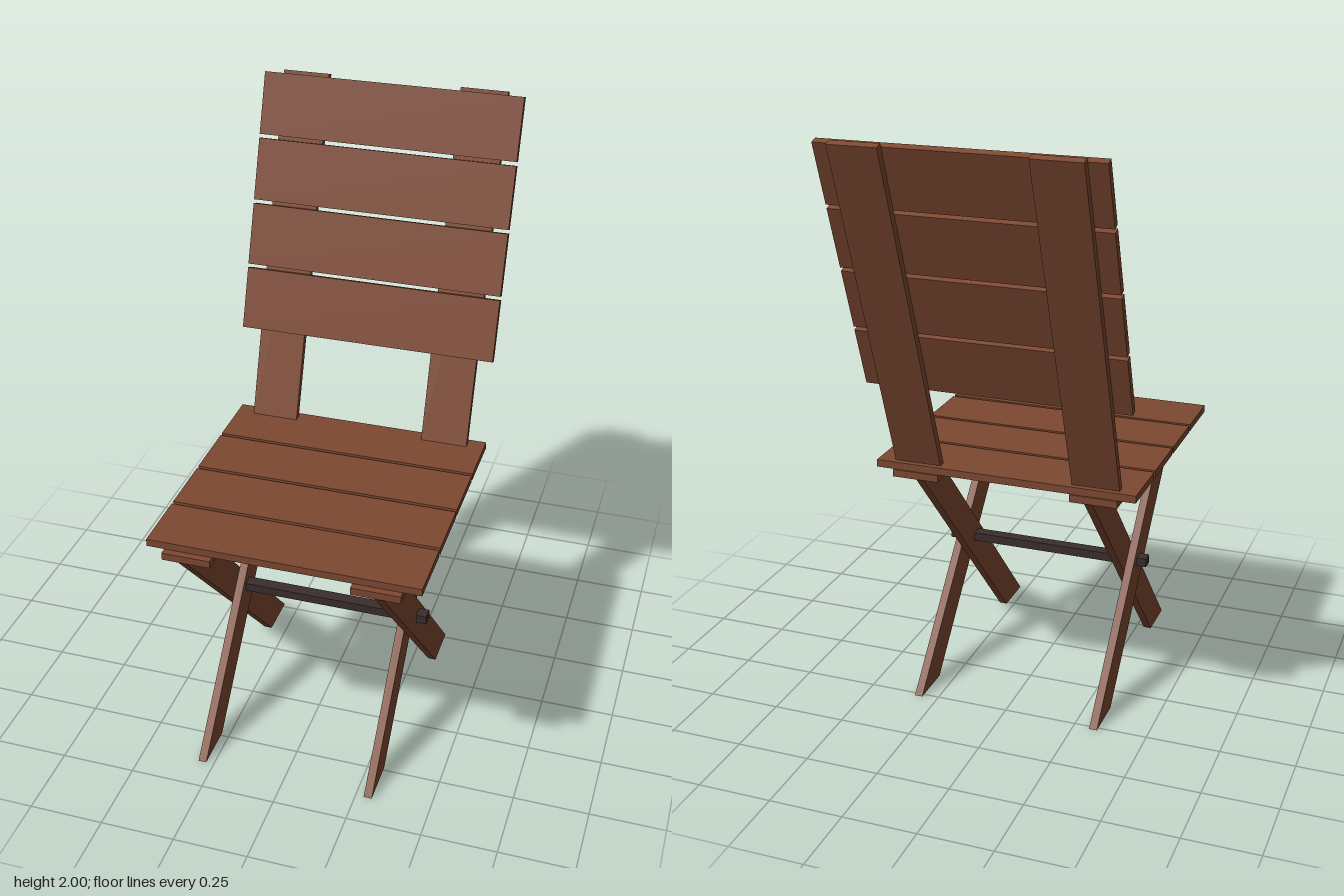
import * as THREE from 'three';

const wood = new THREE.MeshStandardMaterial({ color: 0x7e4932 });
const darkMetal = new THREE.MeshStandardMaterial({ color: 0x3a2e2d });

// Box given by its minimum and maximum corners
function board(name, [x0, y0, z0], [x1, y1, z1], material = wood) {
  const mesh = new THREE.Mesh(new THREE.BoxGeometry(x1 - x0, y1 - y0, z1 - z0), material);
  mesh.position.set((x0 + x1) / 2, (y0 + y1) / 2, (z0 + z1) / 2);
  mesh.name = name;
  return mesh;
}

// Slanted leg, cut level at floor and seat; zBottom and zTop are its rear edges
const LEG_HEIGHT = 0.82, LEG_RUN = 0.153, LEG_THICK = 0.0275;
function leg(name, xMax, zBottom, zTop) {
  const shape = new THREE.Shape([
    new THREE.Vector2(zBottom, 0),
    new THREE.Vector2(zBottom + LEG_RUN, 0),
    new THREE.Vector2(zTop + LEG_RUN, LEG_HEIGHT),
    new THREE.Vector2(zTop, LEG_HEIGHT),
  ]);
  const geometry = new THREE.ExtrudeGeometry(shape, { depth: LEG_THICK, bevelEnabled: false });
  geometry.rotateY(-Math.PI / 2);
  const mesh = new THREE.Mesh(geometry, wood);
  mesh.position.x = xMax;
  mesh.name = name;
  return mesh;
}

export function createModel() {
  const chair = new THREE.Group();
  chair.name = 'foldingChair';
  const halfWidth = 0.447, slatDepth = 0.21, slatPitch = 0.2233;
  const rear = -0.266, front = 0.64;

  // Crossed legs: the outer one of each pair reaches the seat front
  const legs = new THREE.Group();
  legs.name = 'legs';
  for (const side of [-1, 1]) {
    const outerMax = side > 0 ? 0.3325 : -0.305;
    const innerMax = side > 0 ? 0.305 : -0.2775;
    legs.add(leg('outerLeg', outerMax, rear, front - LEG_RUN));
    legs.add(leg('innerLeg', innerMax, front - LEG_RUN, rear));
  }
  chair.add(legs);

  // Pivot bar through the crossings
  chair.add(board('pivotBar', [-0.367, 0.413, 0.166], [0.367, 0.443, 0.208], darkMetal));

  // Seat: two rails carrying four slats
  const seat = new THREE.Group();
  seat.name = 'seat';
  for (const x of [-0.3875, 0.2275]) {
    seat.add(board('seatRail', [x, 0.82, -0.268], [x + 0.16, 0.845, front]));
  }
  for (let i = 0; i < 4; i++) {
    const z = -0.263 + i * slatPitch;
    seat.add(board('seatSlat', [-halfWidth, 0.845, z], [halfWidth, 0.87, z + slatDepth]));
  }
  chair.add(seat);

  // Backrest: built upright at its foot, then leaned back
  const backrest = new THREE.Group();
  backrest.name = 'backrest';
  const thick = 0.0255;
  for (const x of [-0.3875, 0.2275]) {
    backrest.add(board('backPost', [x, 0, -thick], [x + 0.16, 1.2, 0]));
  }
  for (let i = 0; i < 4; i++) {
    const top = 1.188 - i * slatPitch;
    backrest.add(board('backSlat', [-halfWidth, top - slatDepth, 0], [halfWidth, top, thick]));
  }
  backrest.position.set(0, 0.869, -0.215);
  backrest.rotation.x = -0.342;
  chair.add(backrest);

  return chair;
}
